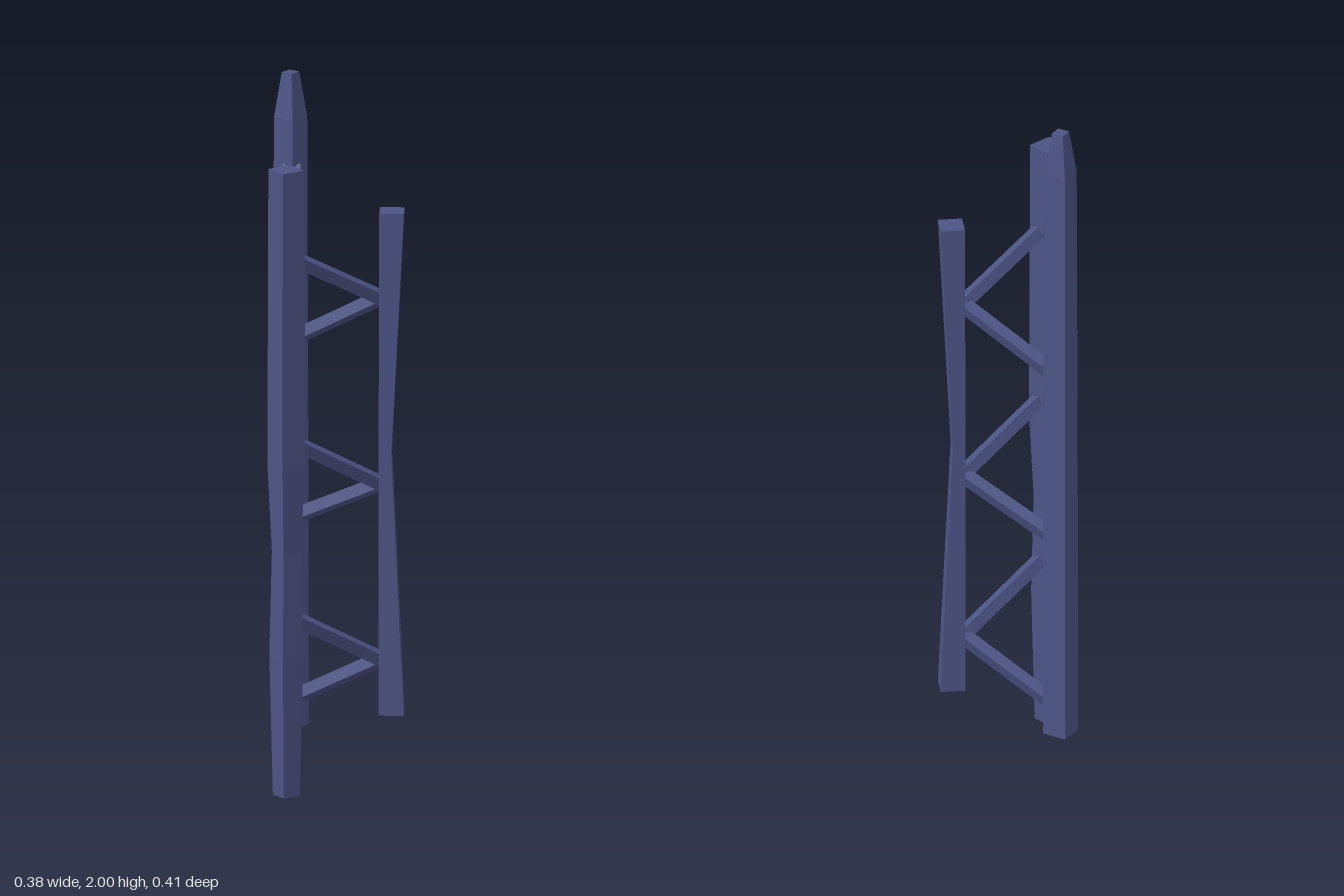
import * as THREE from 'three';

const material = new THREE.MeshStandardMaterial({ color: 0x4c5485, flatShading: true });

// Square post built from stacked sections [y, inner, outer, halfWidth];
// local +x points away from the middle of the tower.
function post(name, x, z, angle, sections) {
  const geometry = new THREE.BoxGeometry(1, 1, 1, 1, sections.length - 1, 1);
  const p = geometry.attributes.position;
  for (let i = 0; i < p.count; i++) {
    const row = Math.round((p.getY(i) + 0.5) * (sections.length - 1));
    const [y, inner, outer, half] = sections[row];
    p.setXYZ(i, p.getX(i) < 0 ? -inner : outer, y, Math.sign(p.getZ(i)) * half);
  }
  geometry.computeVertexNormals();
  const mesh = new THREE.Mesh(geometry, material);
  mesh.name = name;
  mesh.position.set(x, 0, z);
  mesh.rotation.y = angle;
  return mesh;
}

// Tapered square beam between two points, rolled about its own axis.
function strut(name, from, to, startWidth, endWidth, height, roll) {
  const a = new THREE.Vector3(...from), b = new THREE.Vector3(...to);
  const geometry = new THREE.BoxGeometry(1, height, a.distanceTo(b));
  const p = geometry.attributes.position;
  for (let i = 0; i < p.count; i++) {
    p.setX(i, p.getX(i) * (p.getZ(i) < 0 ? startWidth : endWidth));
  }
  geometry.computeVertexNormals();
  const mesh = new THREE.Mesh(geometry, material);
  mesh.name = name;
  mesh.position.copy(a).add(b).multiplyScalar(0.5);
  mesh.lookAt(b);
  mesh.rotateZ(roll);
  return mesh;
}

export function createModel() {
  const group = new THREE.Group();
  group.name = 'latticeTower';
  const even = (rows) => rows.map(([y, h]) => [y, h, h, h]);

  // Three posts at the corners of a triangle
  group.add(post('leftPost', 0.153, -0.002, 0, [
    [0.2, 0.036, 0.034, 0.036],
    [0.95, 0.036, -0.001, 0.031],
    [1.645, 0.034, 0.034, 0.036],
  ]));
  group.add(post('frontPost', -0.135, 0.15, -2.51, even([
    [0, 0.027], [0.4, 0.034], [0.7, 0.029], [0.95, 0.038], [1.8, 0.036],
  ])));
  group.add(post('backPost', -0.135, -0.157, 2.51, even([
    [0.12, 0.036], [1.0, 0.035], [1.87, 0.033], [2, 0.0175],
  ])));

  // Struts winding down around the posts: back, front, left, back
  const turns = [
    [1.73, 1.54, 1.395, 1.245],
    [1.2, 1.01, 0.86, 0.73],
    [0.71, 0.505, 0.355, 0.21],
  ];
  for (const [top, front, left, back] of turns) {
    const f = [-0.11, front, 0.14], l = [0.122, left, 0];
    group.add(strut('sideStrut', [-0.131, top, -0.14], [-0.13, front, 0.13], 0.05, 0.032, 0.034, 0));
    group.add(strut('frontStrut', f, l, 0.034, 0.034, 0.034, 0.35));
    group.add(strut('backStrut', l, [-0.11, back, -0.145], 0.034, 0.034, 0.034, 0.35));
  }
  return group;
}
